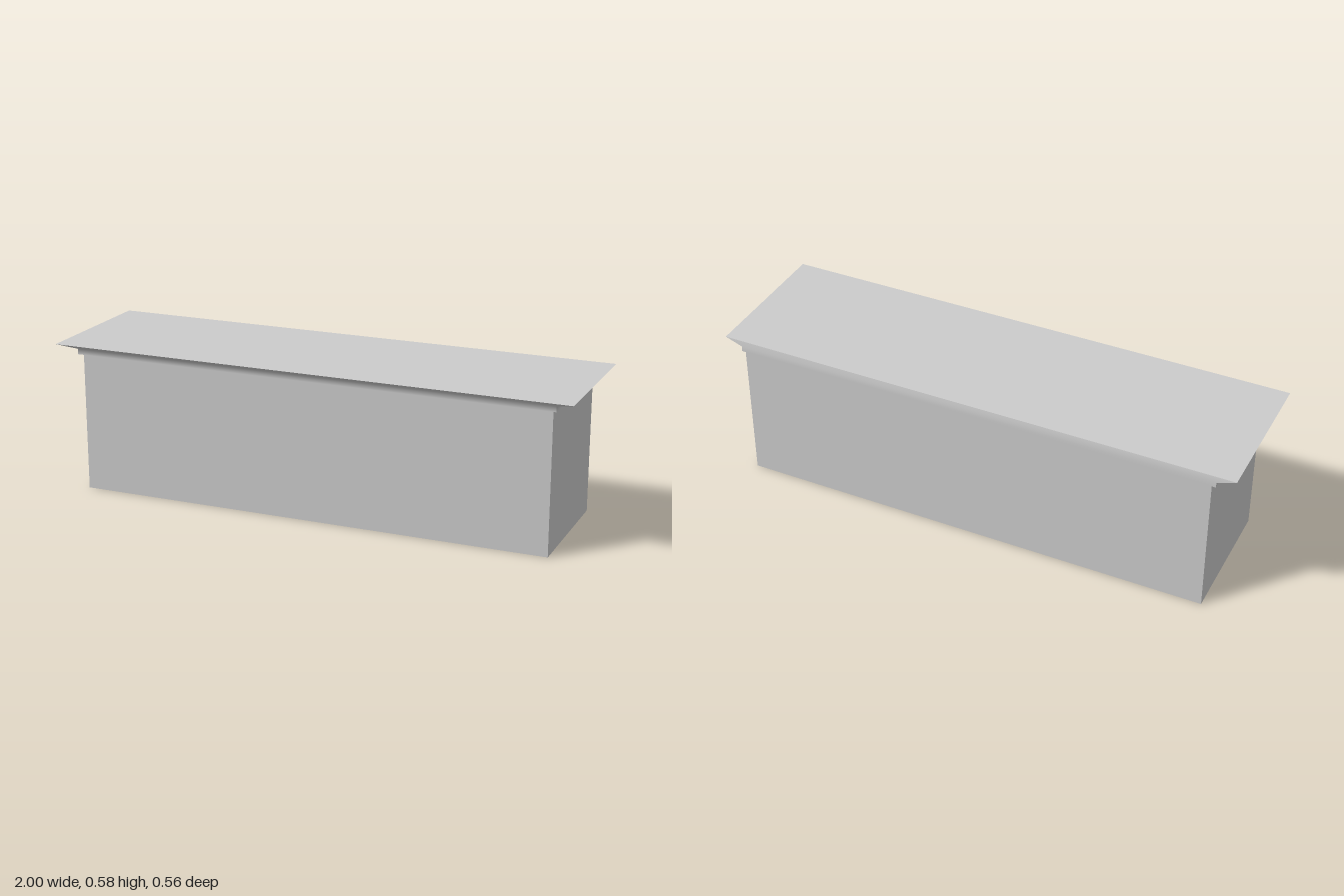
import * as THREE from 'three';

// Cornice sections from bottom to top: half width, height, front z, back z
const SECTIONS = [
  [0.93, 0.535, 0.24, -0.282],
  [0.93, 0.556, 0.24, -0.282],
  [1.0, 0.577, 0.282, -0.278],
];

// Corners of a section, counter-clockwise seen from above
const corners = ([hx, y, zf, zb]) => [[-hx, y, zf], [hx, y, zf], [hx, y, zb], [-hx, y, zb]];

// Cornice: one smooth strip per side with sharp mitres, closed by flat caps
function corniceGeometry() {
  const pos = [], idx = [];
  const rings = SECTIONS.map(corners);
  for (let side = 0; side < 4; side++) {
    const start = pos.length / 3;
    for (const ring of rings) pos.push(...ring[side], ...ring[(side + 1) % 4]);
    for (let k = 0; k < rings.length - 1; k++) {
      const a = start + 2 * k;
      idx.push(a, a + 1, a + 3, a, a + 3, a + 2);
    }
  }
  for (const ring of [rings[rings.length - 1], [...rings[0]].reverse()]) {
    const a = pos.length / 3;
    pos.push(...ring.flat());
    idx.push(a, a + 1, a + 2, a, a + 2, a + 3);
  }
  const g = new THREE.BufferGeometry();
  g.setAttribute('position', new THREE.Float32BufferAttribute(pos, 3));
  g.setIndex(idx);
  g.computeVertexNormals();
  return g;
}

export function createModel() {
  const model = new THREE.Group();
  model.name = 'cabinet';
  const grey = new THREE.MeshStandardMaterial({ color: 0xcccccc });

  // Plain body, flush with the cornice at the back
  const body = new THREE.Mesh(new THREE.BoxGeometry(1.83, 0.535, 0.505), grey);
  body.name = 'body';
  body.position.set(0, 0.2675, -0.0295);
  model.add(body);

  // Flared top moulding
  const cornice = new THREE.Mesh(corniceGeometry(), grey);
  cornice.name = 'cornice';
  model.add(cornice);

  return model;
}
